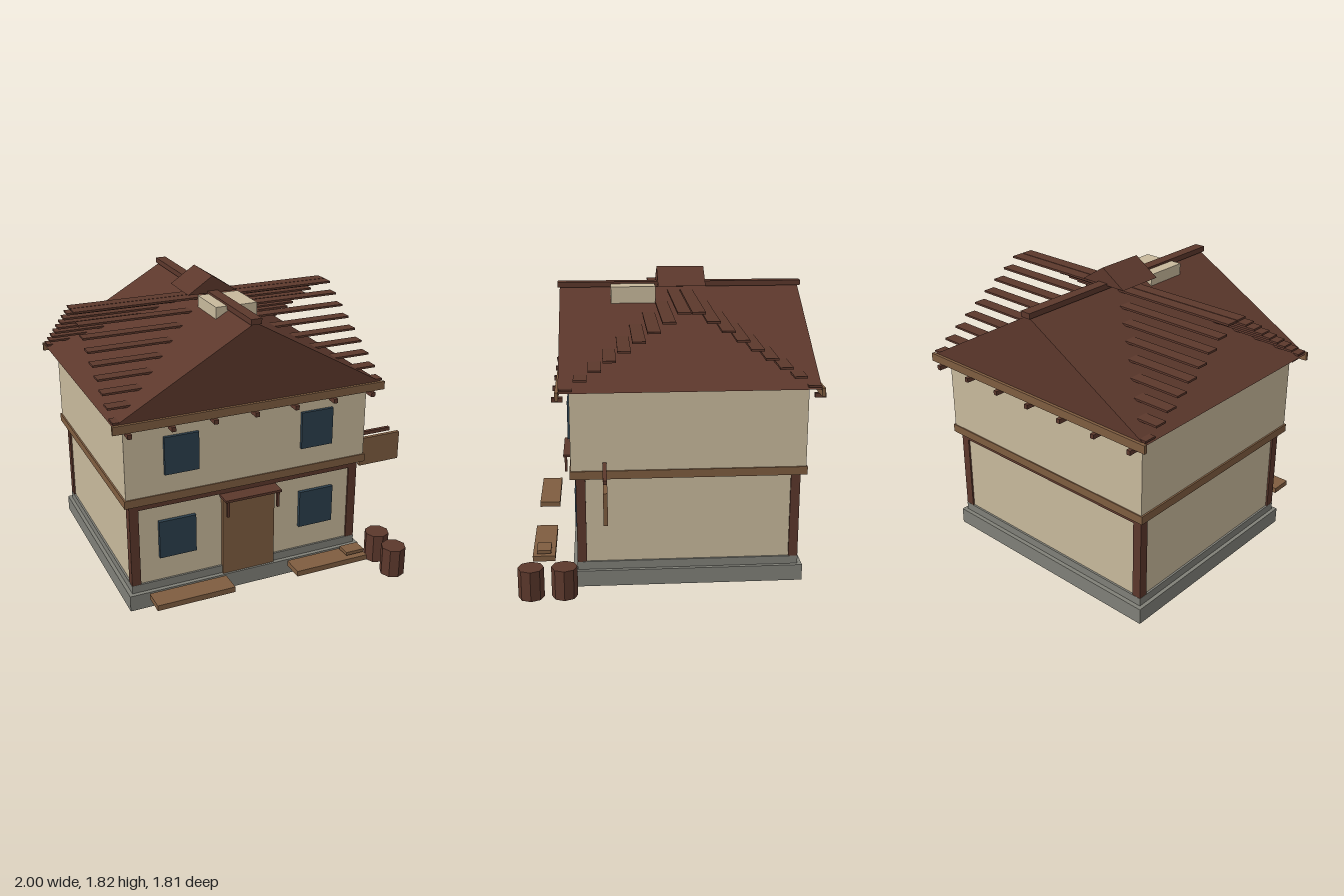
import * as THREE from 'three';

export function createModel() {
  const group = new THREE.Group();
  group.name = 'timberHouse';

  const mat = (name, color) => {
    const m = new THREE.MeshStandardMaterial({ color });
    m.name = name;
    return m;
  };
  const plaster = mat('plaster', 0xc8b99c);
  const timber = mat('darkTimber', 0x5c382c);
  const oak = mat('oak', 0x7f5d40);
  const stone = mat('stone', 0x808078);
  const glass = mat('windowGlass', 0x2c3f4c);

  const CX = -0.155, CZ = -0.11; // centre of the house

  const add = (name, geometry, material) => {
    const mesh = new THREE.Mesh(geometry, material);
    mesh.name = name;
    group.add(mesh);
    return mesh;
  };
  // box given by its limits on each axis
  const box = (name, material, x0, x1, y0, y1, z0, z1) =>
    add(name, new THREE.BoxGeometry(x1 - x0, y1 - y0, z1 - z0), material)
      .position.set((x0 + x1) / 2, (y0 + y1) / 2, (z0 + z1) / 2);
  // box centred on the house
  const storey = (name, material, hx, hz, y0, y1) =>
    box(name, material, CX - hx, CX + hx, y0, y1, CZ - hz, CZ + hz);
  // triangular prism running along z
  const prism = (name, material, half, y0, y1, z0, z1) => {
    const s = new THREE.Shape([
      new THREE.Vector2(-half, y0), new THREE.Vector2(half, y0), new THREE.Vector2(0, y1),
    ]);
    const g = new THREE.ExtrudeGeometry(s, { depth: z1 - z0, bevelEnabled: false });
    add(name, g, material).position.set(CX, 0, z0);
  };

  // Foundation and walls
  storey('foundation', stone, 0.77, 0.693, 0, 0.1);
  storey('foundationStep', stone, 0.747, 0.667, 0.1, 0.15);
  storey('lowerWalls', plaster, 0.735, 0.655, 0.15, 0.69);
  storey('floorBand', oak, 0.78, 0.7, 0.685, 0.735);
  storey('upperWalls', plaster, 0.77, 0.693, 0.735, 1.219);

  // Corner posts, and lintel beams on front and back
  for (const sz of [1, -1]) {
    const z = CZ + sz * 0.638;
    for (const sx of [1, -1]) {
      const x = CX + sx * 0.718;
      box('cornerPost', timber, x - 0.028, x + 0.028, 0.15, 0.685, z - 0.028, z + 0.028);
    }
    box('lintelBeam', timber, CX - 0.74, CX + 0.74, 0.64, 0.685, z - 0.027, z + 0.027);
  }

  // Gable roof and ridge
  prism('roof', timber, 0.84, 1.22, 1.7, CZ - 0.752, CZ + 0.752);
  box('ridgeBeam', timber, -0.188, -0.122, 1.692, 1.725, -0.877, 0.655);

  // Roof battens, rising in steps from both ends to the middle
  for (let i = 0; i < 9; i++) {
    const y = 1.238 + i * 0.0538;
    for (const s of [1, -1]) {
      const z = CZ + s * (0.711 - i * 0.0838);
      box('roofBatten', timber, -0.993, 0.686, y - 0.006, y + 0.006, z - 0.038, z + 0.038);
    }
  }

  // Eave boards and rafter ends, front and back
  for (const s of [1, -1]) {
    const z = CZ + s * 0.76;
    box('eaveBoard', oak, CX - 0.848, CX + 0.848, 1.18, 1.23, z - 0.01, z + 0.01);
    for (let i = -3; i <= 3; i++) {
      const x = CX + i * 0.253;
      box('rafterEnd', timber, x - 0.0125, x + 0.0125, 1.153, 1.18, z - 0.033, z + 0.033);
    }
  }

  // Roof dormer block and its small gable cap
  box('dormer', plaster, -0.258, 0.002, 1.5, 1.712, 0.05, 0.325);
  prism('dormerCap', timber, 0.157, 1.712, 1.815, -0.262, 0.033);

  // Windows
  for (const [x0, x1] of [[-0.725, -0.495], [0.19, 0.418]])
    box('lowerWindow', glass, x0, x1, 0.305, 0.545, 0.54, 0.568);
  for (const [x0, x1] of [[-0.692, -0.482], [0.174, 0.382]])
    box('upperWindow', glass, x0, x1, 0.857, 1.09, 0.575, 0.602);

  // Door with canopy and brackets
  box('door', oak, -0.325, 0.015, 0.1, 0.625, 0.53, 0.57);
  box('doorCanopy', timber, -0.337, 0.027, 0.622, 0.637, 0.545, 0.646);
  for (const x of [-0.318, 0.008])
    box('canopyBracket', timber, x - 0.008, x + 0.008, 0.522, 0.624, 0.622, 0.638);

  // Benches and a small board
  box('bench', oak, -0.84, -0.358, 0.132, 0.166, 0.692, 0.828);
  box('bench', oak, 0.05, 0.53, 0.132, 0.166, 0.692, 0.828);
  box('smallBoard', oak, 0.4, 0.52, 0.177, 0.198, 0.717, 0.803);

  // Barrels
  for (const z of [0.632, 0.828]) {
    const g = new THREE.CylinderGeometry(0.077, 0.077, 0.185, 8).toNonIndexed();
    g.computeVertexNormals();
    add('barrel', g, timber).position.set(0.722, 0.0925, z);
  }

  // Hanging board on a pole
  box('signPole', timber, 0.6, 0.925, 0.763, 0.786, 0.375, 0.398);
  box('signBoard', oak, 0.71, 1.0, 0.55, 0.74, 0.374, 0.398);

  return group;
}
